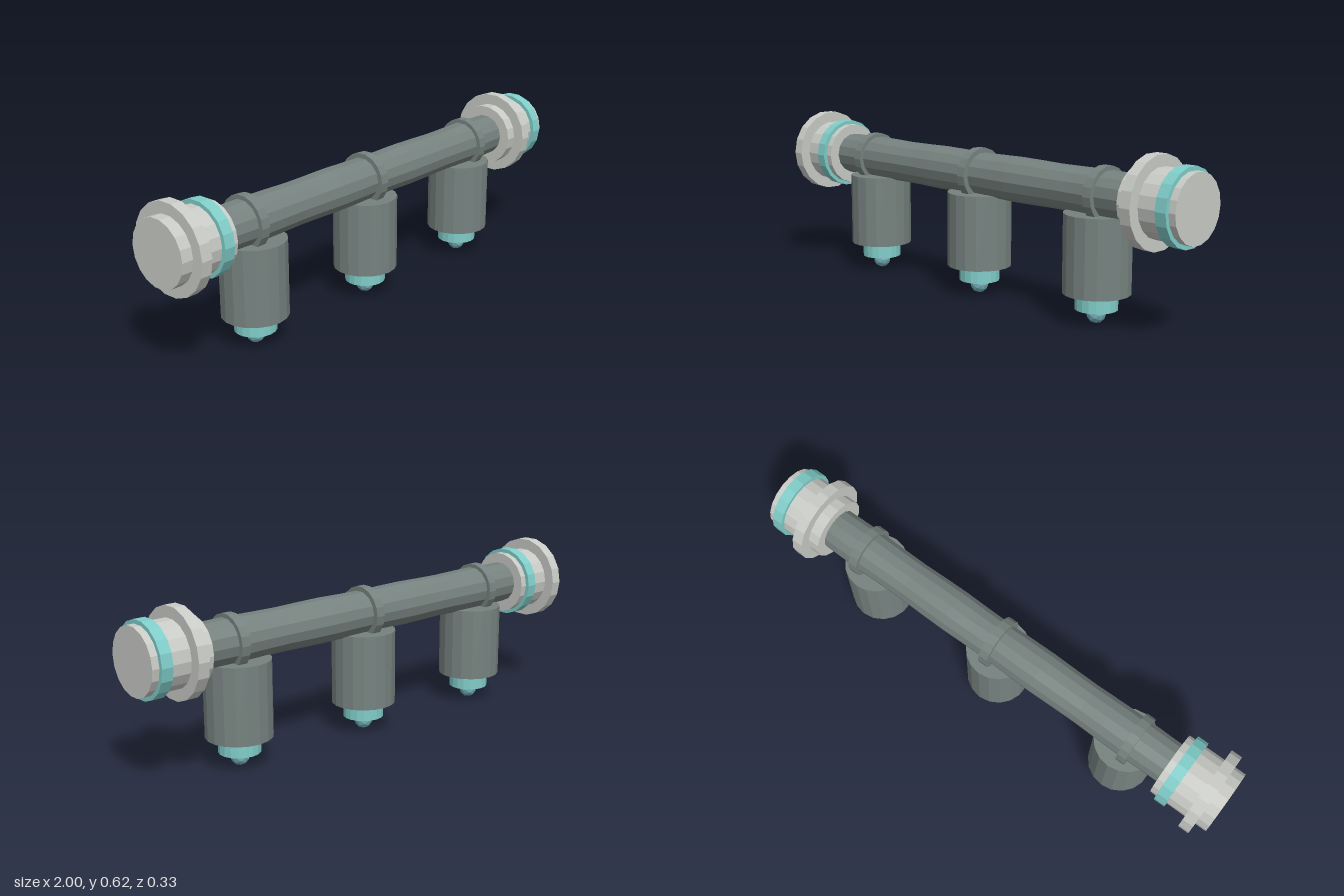
import * as THREE from 'three';

const paint = (name, color) => {
  const m = new THREE.MeshStandardMaterial({ color, flatShading: true });
  m.name = name;
  return m;
};

export function createModel() {
  const dark = paint('dark grey', 0x76827f);
  const pale = paint('pale grey', 0xc9cbc6);
  const teal = paint('teal', 0x80cdc9);
  const blue = paint('muted blue', 0x75adb8);
  const model = new THREE.Group();
  model.name = 'barWithCanisters';
  const AXIS = 0.463;

  const add = (parent, name, geometry, material, x, y) => {
    const mesh = new THREE.Mesh(geometry, material);
    mesh.name = name;
    mesh.position.set(x, y, 0);
    parent.add(mesh);
    return mesh;
  };
  // Cylinder lying along x, with a corner at the top
  const disc = (radius, width, sides = 18) =>
    new THREE.CylinderGeometry(radius, radius, width, sides).rotateZ(Math.PI / 2).rotateX(Math.PI);

  // Long bar with a slight swell between the clamps
  const profile = [];
  for (let i = 0; i <= 16; i++) {
    const x = -0.8 + i * 0.1;
    profile.push(new THREE.Vector2(0.0805 + 0.0035 * Math.cos((x - 0.22) * Math.PI / 0.4) ** 2, x));
  }
  const barGeometry = new THREE.LatheGeometry(profile, 14).rotateZ(-Math.PI / 2);
  add(model, 'bar', barGeometry, dark, 0, AXIS + 0.002);

  // End caps: the same unit at both ends, not mirrored
  for (const x of [-0.882, 0.882]) {
    const cap = new THREE.Group();
    cap.name = x > 0 ? 'leftEndCap' : 'rightEndCap';
    cap.position.set(x, AXIS, 0);
    add(cap, 'capBody', disc(0.122, 0.236), pale, 0, 0);
    add(cap, 'capFlange', disc(0.164, 0.043), pale, -0.052, 0);
    add(cap, 'capBand', disc(0.137, 0.043), teal, 0.07, 0);
    model.add(cap);
  }

  // Clamp rings around the bar
  for (const x of [-0.615, 0, 0.615]) add(model, 'clampRing', disc(0.1, 0.036), dark, x, AXIS);

  // Hanging canisters with nozzle and tip
  for (const x of [-0.586, 0, 0.586]) {
    const canister = new THREE.Group();
    canister.name = 'canister';
    canister.position.x = x;
    add(canister, 'canisterBody', new THREE.CylinderGeometry(0.122, 0.122, 0.284, 18), dark, 0, 0.253);
    add(canister, 'nozzle', new THREE.CylinderGeometry(0.077, 0.077, 0.06, 18), teal, 0, 0.083);
    add(canister, 'tip', new THREE.IcosahedronGeometry(0.035, 1), blue, 0, 0.036);
    model.add(canister);
  }
  return model;
}
